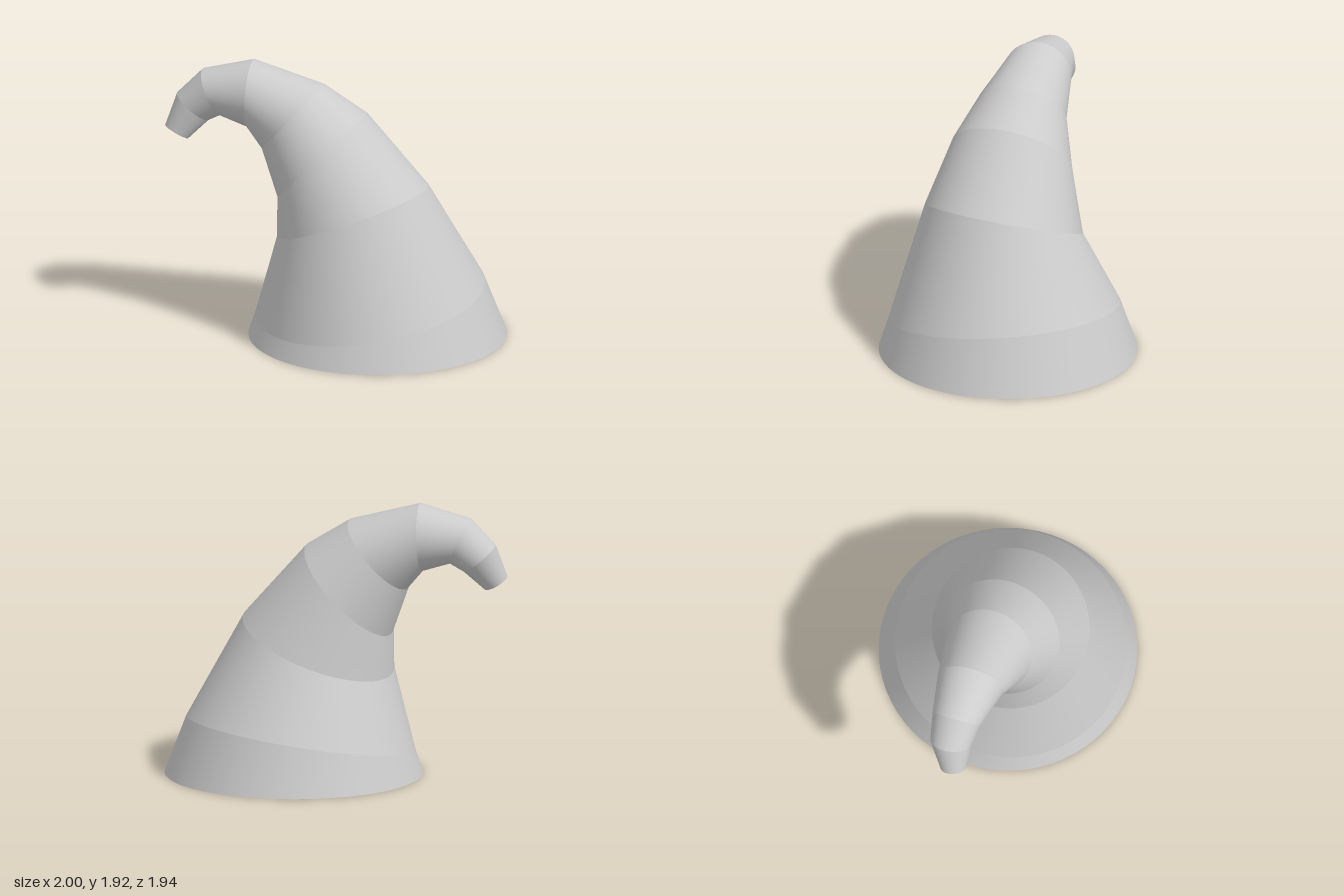
import * as THREE from 'three';
import { mergeGeometries } from 'three/addons/utils/BufferGeometryUtils.js';

const SIDES = 64;

// Circular sections from base to tip: centre, axis direction, radius
const SECTIONS = [
  [[0.11, 0, -0.08], [0, 1, 0], 0.89],
  [[0.10, 0.268, -0.025], [-0.03, 0.98, 0.17], 0.80],
  [[0.037, 0.90, 0.077], [-0.33, 0.93, 0.16], 0.553],
  [[-0.128, 1.29, 0.215], [-0.58, 0.70, 0.42], 0.424],
  [[-0.30, 1.55, 0.34], [-0.60, 0.66, 0.45], 0.31],
  [[-0.55, 1.687, 0.52], [-0.73, 0.05, 0.68], 0.235],
  [[-0.765, 1.672, 0.69], [-0.68, -0.40, 0.61], 0.172],
  [[-0.865, 1.557, 0.78], [-0.40, -0.77, 0.50], 0.144],
  [[-0.91, 1.38, 0.886], [-0.20, -0.86, 0.47], 0.092],
];

// Rings of points, with the starting direction carried along so they do not twist
function makeRings() {
  const a = new THREE.Vector3(1, 0, 0);
  return SECTIONS.map(([c, axis, r]) => {
    const n = new THREE.Vector3(...axis).normalize();
    a.addScaledVector(n, -a.dot(n)).normalize();
    const b = new THREE.Vector3().crossVectors(n, a);
    return Array.from({ length: SIDES }, (_, i) => {
      const t = (i / SIDES) * Math.PI * 2;
      return new THREE.Vector3(...c)
        .addScaledVector(a, r * Math.cos(t))
        .addScaledVector(b, r * Math.sin(t));
    });
  });
}

function geometryFrom(points, index) {
  const g = new THREE.BufferGeometry().setFromPoints(points);
  g.setIndex(index);
  g.computeVertexNormals();
  return g;
}

// Band between two rings: smooth around, creased where bands meet
function band(lower, upper) {
  const index = [];
  for (let i = 0; i < SIDES; i++) {
    const j = (i + 1) % SIDES;
    index.push(i, j, SIDES + j, i, SIDES + j, SIDES + i);
  }
  return geometryFrom([...lower, ...upper], index);
}

// Flat disc closing a ring
function cap(ring, flip) {
  const index = [];
  for (let i = 1; i < SIDES - 1; i++) {
    index.push(0, ...(flip ? [i + 1, i] : [i, i + 1]));
  }
  return geometryFrom(ring, index);
}

export function createModel() {
  const group = new THREE.Group();
  group.name = 'bentHorn';
  const material = new THREE.MeshStandardMaterial({ color: 0xcccccc });
  const add = (name, geometry) => {
    const mesh = new THREE.Mesh(geometry, material);
    mesh.name = name;
    group.add(mesh);
  };

  const rings = makeRings();
  add('curvedBody', mergeGeometries(rings.slice(1).map((ring, i) => band(rings[i], ring))));
  add('baseDisc', cap(rings[0], true));
  add('tipDisc', cap(rings[rings.length - 1], false));
  return group;
}
